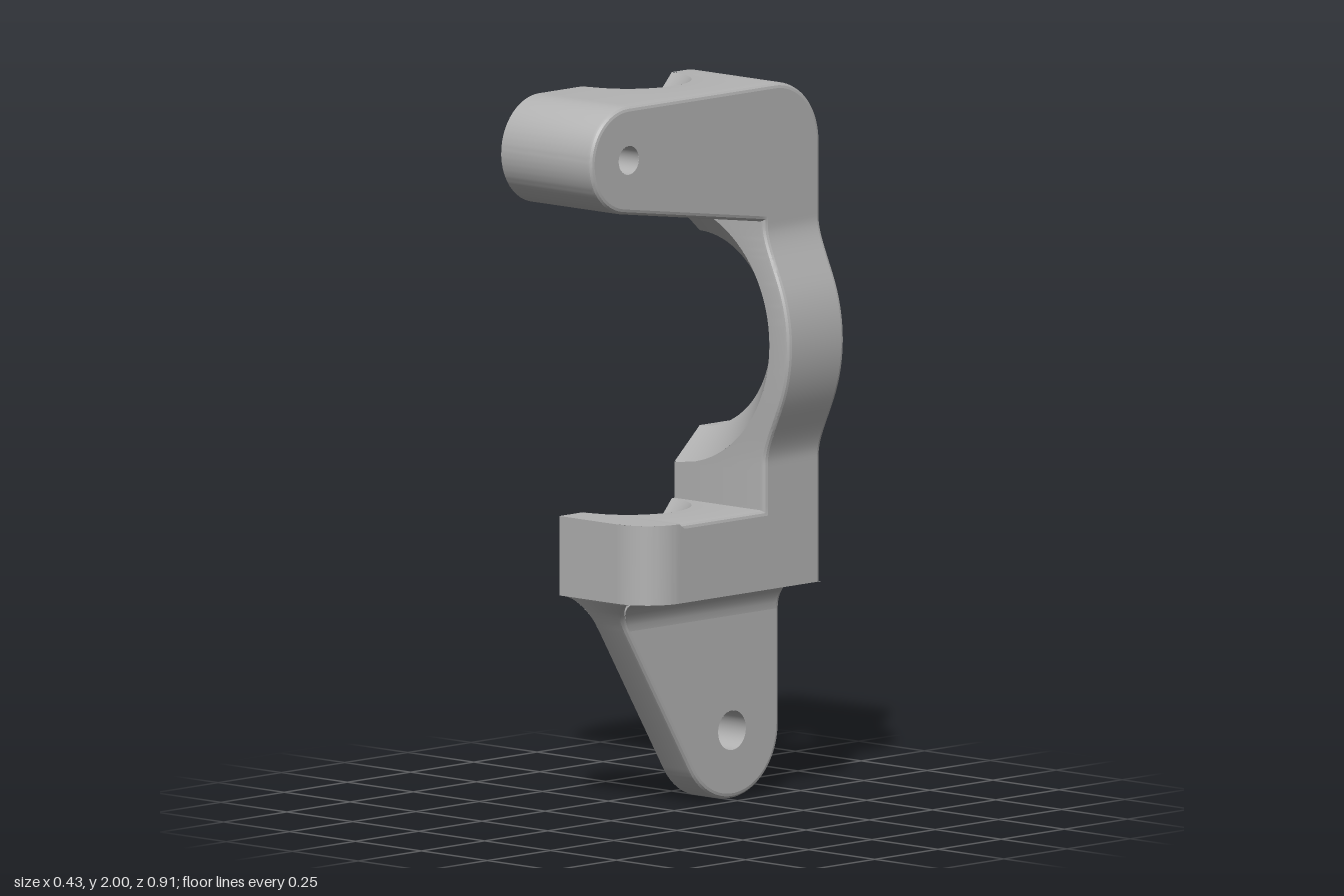
import * as THREE from 'three';
import { toCreasedNormals } from 'three/addons/utils/BufferGeometryUtils.js';

const CUT = -0.22, SIDE = 0.12;          // open symmetry plane and outer side wall
const BACK = -0.455, FRONT = -0.23;      // faces of the upright plate
const RING_Y = 1.28, BOLT_Z = -0.045;    // centres of the big ring and the bolt holes
const BEVEL = 0.015;

// half-width of a round opening on the symmetry plane
const half = (r, d) => CUT + Math.sqrt(Math.max(0, r * r - d * d));
const near = (a, b) => Math.abs(a - b) < 0.002;

// grid surface from a function of u and v
function sheet(fn, nu, nv) {
  const pos = [], idx = [];
  for (let i = 0; i <= nu; i++) for (let j = 0; j <= nv; j++) pos.push(...fn(i / nu, j / nv));
  for (let i = 0; i < nu; i++) for (let j = 0; j < nv; j++) {
    const a = i * (nv + 1) + j, b = a + nv + 1;
    idx.push(a, b, a + 1, b, b + 1, a + 1);
  }
  const g = new THREE.BufferGeometry();
  g.setAttribute('position', new THREE.Float32BufferAttribute(pos, 3));
  g.setIndex(idx);
  return toCreasedNormals(g, 0.5);
}

// points [z, y] of an arc, angles in degrees
function arc(z, y, r, a0, a1, n = 24) {
  return Array.from({ length: n + 1 }, (_, i) => {
    const a = THREE.MathUtils.degToRad(a0 + (a1 - a0) * i / n);
    return [z + r * Math.cos(a), y + r * Math.sin(a)];
  });
}

// split long segments of a path
function dense(path, step = 0.01) {
  const out = [path[0]];
  for (let i = 1; i < path.length; i++) {
    const [a, b] = [path[i - 1], path[i]];
    const n = Math.max(1, Math.ceil(Math.hypot(b[0] - a[0], b[1] - a[1]) / step));
    for (let k = 1; k <= n; k++) out.push([a[0] + (b[0] - a[0]) * k / n, a[1] + (b[1] - a[1]) * k / n]);
  }
  return out;
}

// mitred inward directions of a clockwise path
function inward(path) {
  const seg = path.slice(1).map((p, i) => {
    const dz = p[0] - path[i][0], dy = p[1] - path[i][1], l = Math.hypot(dz, dy) || 1;
    return [dy / l, -dz / l];
  });
  return path.map((_, i) => {
    const a = seg[Math.max(0, i - 1)], b = seg[Math.min(seg.length - 1, i)];
    const k = 1 + a[0] * b[0] + a[1] * b[1];
    return [(a[0] + b[0]) / k, (a[1] + b[1]) / k];
  });
}
const inset = (path, b) => {
  const n = inward(path);
  return path.map((p, i) => [p[0] + n[i][0] * b, p[1] + n[i][1] * b]);
};

// sweep a side profile across x, with a rounded edge at the outer end
function rim(path, x0, x1, bevel) {
  const n = inward(path);
  return sheet((u, v) => {
    const i = Math.round(u * (path.length - 1)), [z, y] = path[i], b = bevel(z, y);
    if (v === 0) return [x0(z, y), y, z];
    const a = (v * 4 - 1) / 3 * Math.PI / 2, d = b * (1 - Math.cos(a));
    return [x1(z, y) - b + b * Math.sin(a), y + n[i][1] * d, z + n[i][0] * d];
  }, path.length - 1, 4);
}

// flat side face with a round hole
function sideFace(path, x, hz, hy, r) {
  const s = new THREE.Shape(path.map(([z, y]) => new THREE.Vector2(-z, y)));
  s.holes.push(new THREE.Path().absarc(-hz, hy, r, 0, Math.PI * 2, true));
  return new THREE.ShapeGeometry(s, 24).rotateY(Math.PI / 2).translate(x, 0, 0);
}

// open tube or cone along x
function tubeX(r0, r1, x0, x1, y, z) {
  return new THREE.CylinderGeometry(r1, r0, x1 - x0, 32, 1, true)
    .rotateZ(-Math.PI / 2).translate((x0 + x1) / 2, y, z);
}

// half funnel around the bolt axis; profile of [radius, y or function of z]
function funnel(profile) {
  return sheet((u, v) => {
    const [r, y] = profile[Math.round(v * (profile.length - 1))], a = u * Math.PI;
    const z = Math.max(FRONT, BOLT_Z + r * Math.cos(a));
    return [CUT + r * Math.sin(a), typeof y === 'function' ? y(z) : y, z];
  }, 40, profile.length - 1);
}

export function createModel() {
  const model = new THREE.Group();
  const grey = new THREE.MeshStandardMaterial({ color: 0xb2b2b2, side: THREE.DoubleSide });
  grey.name = 'grey';
  const add = (name, geometry) => {
    const m = new THREE.Mesh(geometry, grey);
    m.name = name;
    model.add(m);
  };

  // C-shaped body: back, top, tip, underside of arm, plate front, shelf
  const underArm = z => 1.62 + (z - FRONT) * 0.147;
  const body = dense([
    [BACK, 0.6], ...arc(BACK + 0.18, 1.82, 0.18, 180, 90), ...arc(0.305, 1.85, 0.15, 90, -82),
    [FRONT, 1.62], [FRONT, 0.82], [0.225, 0.82], [0.225, 0.6],
  ]);
  const bodyStart = (z, y) => {
    if (y > 1.99) return half(0.175, z - BOLT_Z);
    if (near(z, BACK)) return half(0.27, y - RING_Y);
    if (near(y, 0.82)) return half(0.175, z - BOLT_Z);
    if (near(z, FRONT) && y < 1.615) return half(0.36, y - RING_Y);
    if (near(y, underArm(z)) || (y < 1.72 && y > 1.6)) return half(0.27, z - BOLT_Z);
    return CUT;
  };
  const bodyEnd = (z, y) => {
    if (z > 0.105 && y < 1) return Math.sqrt(Math.max(0, 0.0144 - (z - 0.105) ** 2));
    if (z > FRONT + 0.005) return SIDE;
    const ring = half(0.432, y - RING_Y), k = 0.06;
    const h = Math.max(k - Math.abs(ring - SIDE), 0) / k;
    return Math.max(ring, SIDE) + h * h * k / 4;
  };
  const bodyBevel = (z, y) => (z > 0.1 && y < 1 ? 0 : BEVEL);
  add('bodyShell', rim(body, bodyStart, bodyEnd, bodyBevel));

  // outer side walls
  add('armSide', sideFace(inset(body, BEVEL).filter(p => p[1] >= 1.62), SIDE, 0.305, 1.85, 0.04));
  add('ringSide', sheet((u, v) => {
    const y = 0.6 + u * 1.04, z = BACK + BEVEL + v * (FRONT - BACK - 2 * BEVEL);
    return [bodyEnd(BACK, y), y, z];
  }, 80, 1));
  add('shelfSide', sheet((u, v) => {
    const z = u < 0.4 ? FRONT - BEVEL + u / 0.4 * 0.35 : 0.105 + 0.12 * Math.sin((u - 0.4) / 0.6 * Math.PI / 2);
    return [bodyEnd(z, 0.7), 0.6 + v * (0.22 - bodyBevel(z, 0.7)), z];
  }, 40, 1));

  // ring bore, straight at the back and flared at the front
  const bore = [[0.27, BACK], [0.27, -0.33], [0.36, FRONT]];
  add('ringBore', sheet((u, v) => {
    const [r, z] = bore[Math.round(v * 2)], a = (u - 0.5) * Math.PI;
    return [CUT + r * Math.cos(a), RING_Y + r * Math.sin(a), z];
  }, 48, 2));

  // bolt funnels and the pin hole of the arm
  add('armFunnel', funnel([[0.175, 2], [0.06, 1.88], [0.06, 1.84], [0.27, underArm]]));
  add('shelfFunnel', funnel([[0.175, 0.82], [0.06, 0.69], [0.06, 0.595]]));
  add('armPinHole', tubeX(0.04, 0.04, CUT, SIDE, 1.85, 0.305));

  // hanging fin with flared root
  const PZ = -0.265, PY = 0.192;
  const finFront = y => 0.2 + (y - 0.58) * 0.622;
  const grow = y => 1 - Math.sqrt(1 - Math.min(1, Math.max(0, (y - 0.51) / 0.09)) ** 2);
  const finRight = (z, y) => -0.035 + 0.085 * grow(y);
  const finLeft = (z, y) => Math.max(-0.14 - 0.08 * grow(y), half(0.06, z - BOLT_Z));
  const fin = dense([[finFront(0.6), 0.6], ...arc(PZ, PY, 0.19, -32, -180), [BACK, 0.6]]);
  add('finEdge', rim(fin, finLeft, finRight, () => BEVEL));
  add('finOuterFace', sideFace(inset(fin, BEVEL).filter(p => p[1] <= 0.52), -0.035, PZ, PY, 0.055));
  add('finInnerFace', sideFace(fin.filter(p => p[1] <= 0.52), -0.14, PZ, PY, 0.055));
  for (const [name, side, b] of [['finOuterFlare', finRight, BEVEL], ['finInnerFlare', finLeft, 0]]) {
    add(name, sheet((u, v) => {
      const y = 0.51 + 0.09 * Math.sin(v * Math.PI / 2);
      const z = BACK + b + u * (finFront(y) - BACK - 2 * b);
      return [side(z, y), y, z];
    }, 60, 8));
  }

  // underside of the shelf beside the fin
  add('shelfUnderside', sheet((u, v) => {
    const z = BACK + u * (0.225 - BACK), end = bodyEnd(z, 0.6);
    const start = z > 0.212 ? CUT : Math.min(0.05, end);
    return [start + v * (end - start), 0.6, z];
  }, 70, 1));

  // raised boss around the fin hole
  add('finBoss', tubeX(0.08, 0.155, -0.18, -0.14, PY, PZ));
  add('finBossFace', new THREE.RingGeometry(0.055, 0.08, 32).rotateY(-Math.PI / 2).translate(-0.18, PY, PZ));
  add('finPinHole', tubeX(0.055, 0.055, -0.18, -0.035, PY, PZ));

  return model;
}
